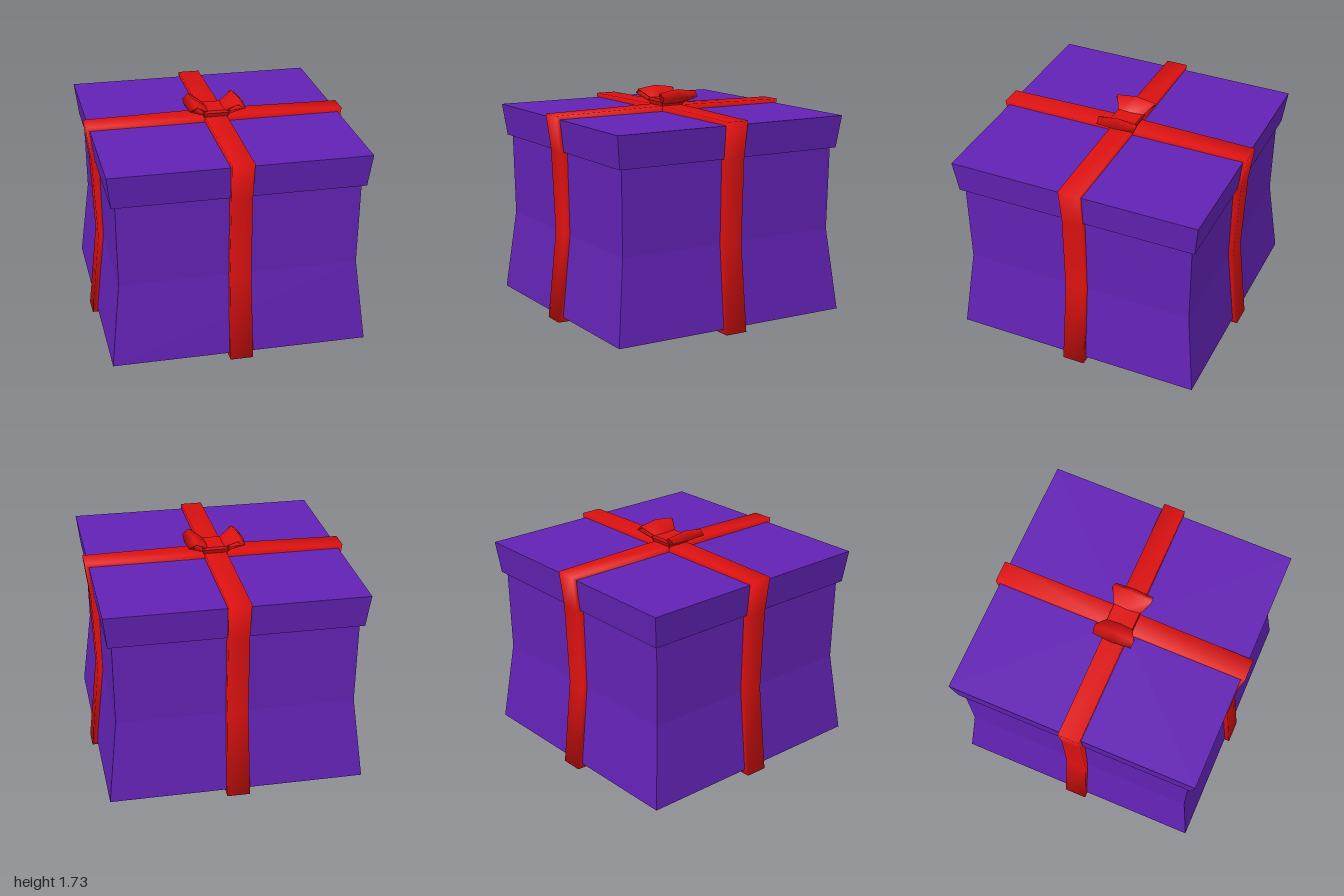
import * as THREE from 'three';

const purple = new THREE.MeshStandardMaterial({ color: 0x6222b4 });
purple.name = 'purple paper';
const red = new THREE.MeshStandardMaterial({ color: 0xdd1111 });
red.name = 'red ribbon';

// Skins rows of points into a surface; rows and columns may each close on themselves
function skin(rows, closeRows, closeCols) {
  const n = rows.length, m = rows[0].length, index = [];
  for (let i = 0; i < (closeRows ? n : n - 1); i++) {
    for (let j = 0; j < (closeCols ? m : m - 1); j++) {
      const i2 = (i + 1) % n, j2 = (j + 1) % m;
      const a = i * m + j, b = i * m + j2, c = i2 * m + j2, d = i2 * m + j;
      index.push(a, b, c, a, c, d);
    }
  }
  const g = new THREE.BufferGeometry();
  g.setAttribute('position', new THREE.Float32BufferAttribute(rows.flat(2), 3));
  g.setIndex(index);
  g.computeVertexNormals();
  return g;
}

// Closed rectangular block from [y, half width, half depth] levels, with flat faces
function block(levels) {
  const first = levels[0], last = levels[levels.length - 1];
  const all = [[first[0], 0, 0], ...levels, [last[0], 0, 0]];
  const rows = all.map(([y, w, d = w]) => [[-w, y, d], [w, y, d], [w, y, -d], [-w, y, -d]]);
  const g = skin(rows, false, true).toNonIndexed();
  g.computeVertexNormals();
  return g;
}

// Ribbon band wrapped once around the box in the xy plane
function ribbonBand() {
  // outer x, outer y, inner x, inner y, half width
  const side = [
    [1.0, 0.015, 0.95, 0.06, 0.086],
    [0.93, 0.68, 0.87, 0.68, 0.08],
    [0.957, 1.31, 0.885, 1.31, 0.078],
    [0.992, 1.585, 0.95, 1.545, 0.083],
  ];
  const flip = ([ox, oy, ix, iy, w]) => [-ox, oy, -ix, iy, w];
  const path = [
    [0, 0, 0, 0.06, 0.086], ...side,
    [0, 1.6, 0, 1.545, 0.083], ...side.map(flip).reverse(),
  ];
  const rows = path.map(([ox, oy, ix, iy, w]) =>
    [[ix, iy, w], [ox, oy, w], [ox, oy, -w], [ix, iy, -w]]);
  return skin(rows, true, false);
}

// Open bow loop that widens and arches towards its tip
function bowLoop() {
  // outer x, outer y, inner x, inner y, half width, rise of the middle
  const path = [
    [0.075, 1.603, 0.105, 1.636, 0.085, 0],
    [0.215, 1.67, 0.19, 1.677, 0.15, 0],
    [0.17, 1.708, 0.15, 1.7, 0.155, 0.022],
    [0.06, 1.645, 0.1, 1.65, 0.1, 0.005],
  ];
  const rows = path.map(([ox, oy, ix, iy, w, rise]) => [
    [ix, iy, w], [ox, oy, w], [ox + (ox > 0.2 ? 0.012 : 0), oy + rise, 0],
    [ox, oy, -w], [ix, iy, -w],
  ]);
  return skin(rows, true, true);
}

export function createModel() {
  const model = new THREE.Group();
  model.name = 'giftBox';
  const add = (name, geometry, material) => {
    const mesh = new THREE.Mesh(geometry, material);
    mesh.name = name;
    model.add(mesh);
    return mesh;
  };

  // Box with a pinched waist, and its overhanging lid
  add('boxBody', block([[0.05, 0.96], [0.68, 0.89], [1.36, 0.9]]), purple);
  add('lid', block([[1.31, 0.93], [1.555, 0.96]]), purple);

  // Two crossing ribbon bands
  const band = ribbonBand();
  add('ribbonAcross', band, red);
  const second = add('ribbonFrontToBack', band, red);
  second.rotation.y = Math.PI / 2;
  second.scale.y = 0.999;

  // Bow
  const loop = bowLoop();
  add('bowLoopLeft', loop, red);
  add('bowLoopRight', loop, red).rotation.y = Math.PI;
  add('bowKnot', block([[1.59, 0.09, 0.085], [1.63, 0.1, 0.105], [1.65, 0.07, 0.1]]), red);

  return model;
}
